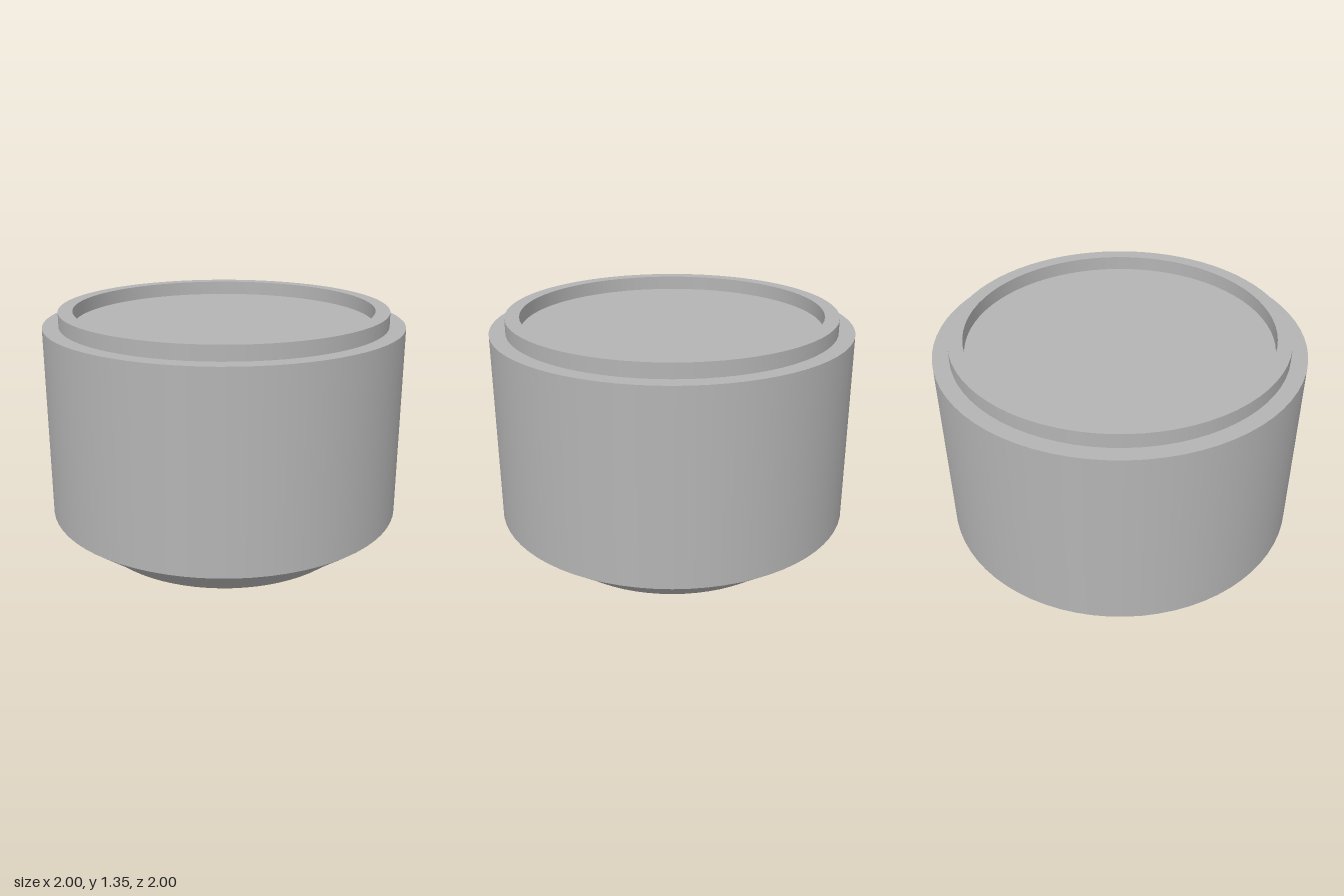
import * as THREE from 'three';

const SEGMENTS = 72;

export function createModel() {
  const group = new THREE.Group();
  group.name = 'pot';
  const grey = new THREE.MeshStandardMaterial({ color: 0xb4b4b4 });
  grey.name = 'grey';

  // Each surface is its own lathe, so edges between surfaces stay sharp.
  // Profiles run from the underside centre, up the outside, to the top centre.
  function ring(name, points) {
    const profile = points.map(([r, y]) => new THREE.Vector2(r, y));
    const mesh = new THREE.Mesh(new THREE.LatheGeometry(profile, SEGMENTS), grey);
    mesh.name = name;
    group.add(mesh);
  }

  // Concave underside: a spherical cap hollowed into the base
  const baseRadius = 0.745, depth = 0.3;
  const capRadius = (baseRadius ** 2 + depth ** 2) / (2 * depth);
  const capAngle = Math.asin(baseRadius / capRadius);
  const cap = [];
  for (let i = 0; i <= 16; i++) {
    const a = capAngle * i / 16;
    cap.push([capRadius * Math.sin(a), depth - capRadius * (1 - Math.cos(a))]);
  }
  ring('undersideHollow', cap);

  // Tapered base and straight body
  ring('taperedBase', [[baseRadius, 0], [0.81, 0.055], [1, 0.2]]);
  ring('bodyWall', [[1, 0.2], [1, 1.27]]);
  ring('shoulder', [[1, 1.27], [0.912, 1.27]]);

  // Raised rim around the recessed top
  ring('rimOutside', [[0.912, 1.27], [0.912, 1.35]]);
  ring('rimTop', [[0.912, 1.35], [0.833, 1.35]]);
  ring('rimInside', [[0.833, 1.35], [0.833, 1.27]]);
  ring('topFloor', [[0.833, 1.27], [0, 1.27]]);

  return group;
}
